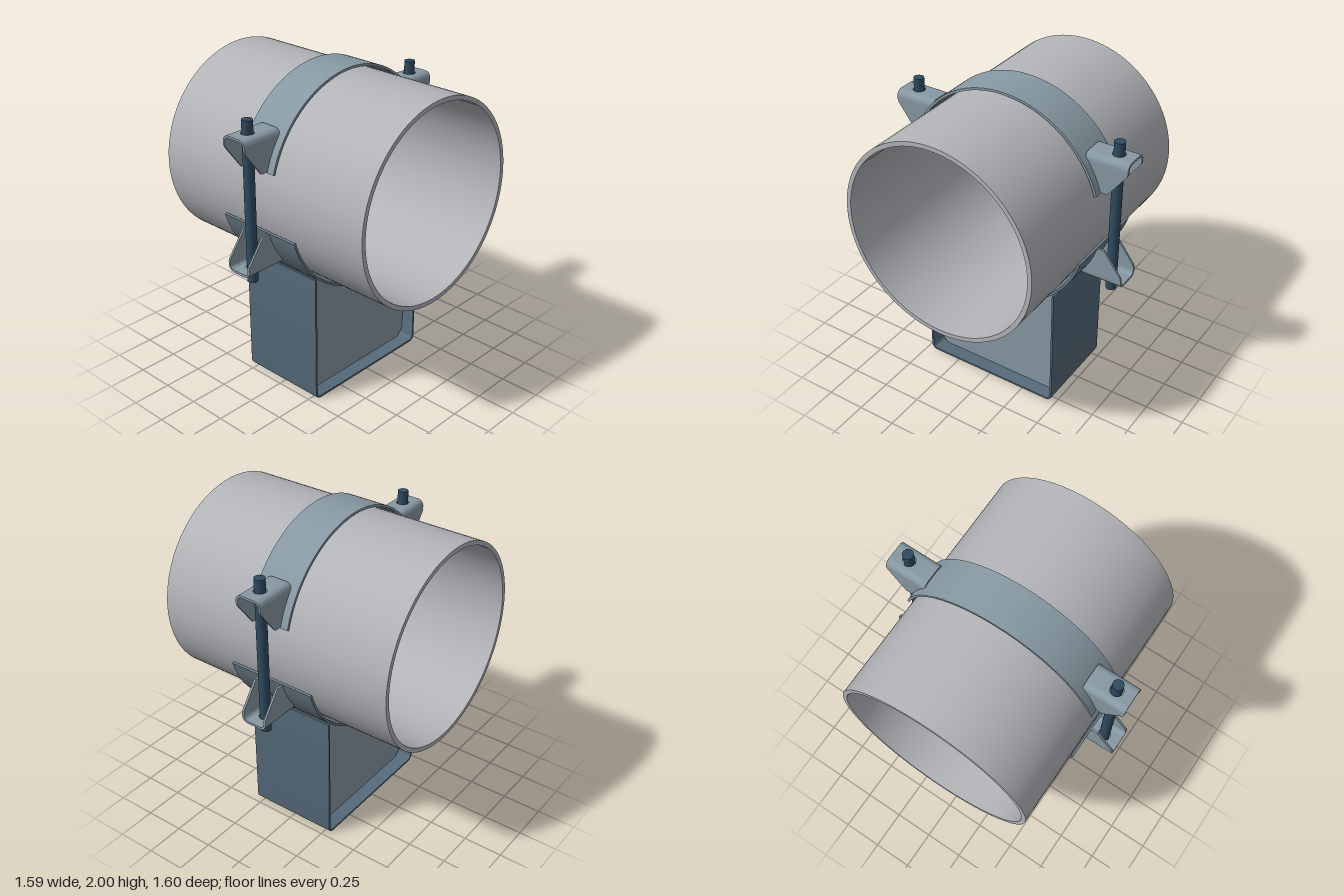
import * as THREE from 'three';
import { toCreasedNormals } from 'three/addons/utils/BufferGeometryUtils.js';

const CY = 1.335;              // height of the pipe axis
const R_IN = 0.65, R_OUT = 0.665; // strap radii

const mat = (color) => new THREE.MeshStandardMaterial({ color });
const pipeMat = mat(0xb2b4b8), strapMat = mat(0x8799a3);
const cradleMat = mat(0x6b7c88), boxMat = mat(0x566b7b), rodMat = mat(0x2f4b60);

function mesh(name, geometry, material) {
  const m = new THREE.Mesh(geometry, material);
  m.name = name;
  return m;
}

// Extrudes a side profile (symmetric in z) along x, centred on cx
function alongX(shape, width, cx = 0) {
  const g = new THREE.ExtrudeGeometry(shape, { depth: width, bevelEnabled: false, curveSegments: 48 });
  g.translate(0, 0, -width / 2).rotateY(Math.PI / 2).translate(cx, 0, 0);
  return toCreasedNormals(g, 0.5);
}

// Curved band between two angles around the pipe axis
function band(a0, a1, width) {
  const s = new THREE.Shape();
  s.absarc(0, CY, R_OUT, a0, a1, false);
  s.absarc(0, CY, R_IN, a1, a0, true);
  s.closePath();
  return alongX(s, width);
}

// Solid through a row of four-cornered cross-sections
function loft(sections) {
  const pos = [];
  const quad = (a, b, c, d) => [a, b, c, a, c, d].forEach((p) => pos.push(...p));
  for (let i = 0; i + 1 < sections.length; i++) {
    const s = sections[i], t = sections[i + 1];
    for (let j = 0; j < 4; j++) {
      const k = (j + 1) % 4;
      quad(s[j], s[k], t[k], t[j]);
    }
  }
  quad(...[...sections[0]].reverse());
  quad(...sections[sections.length - 1]);
  const g = new THREE.BufferGeometry();
  g.setAttribute('position', new THREE.Float32BufferAttribute(pos, 3));
  return toCreasedNormals(g, 0.5);
}

// Bolt lug: folded U with a holed top and tapered cheeks; y is measured from the pipe axis
function lug(name) {
  const g = new THREE.Group();
  g.name = name;
  const top = 0.425, bottom = 0.195, half = 0.087, r = 0.04, t = 0.014;
  const zIn = (y) => Math.min(0.53, Infinity) && Math.max(0.53, Math.sqrt(R_OUT ** 2 - y ** 2) - 0.004);
  const zOut = (y) => Math.min(0.8, 0.68 + (y - bottom) * 0.75);
  const section = (x, y, nx, ny) => {
    const xi = x - nx * t, yi = y - ny * t;
    return [[x, y, zIn(y)], [x, y, zOut(y)], [xi, yi, zOut(yi)], [xi, yi, zIn(yi)]];
  };
  for (const side of [-1, 1]) {
    const rows = [];
    for (let i = 0; i <= 10; i++) {
      rows.push(section(side * half, bottom + (top - r - bottom) * i / 10, side, 0));
    }
    for (let i = 1; i <= 8; i++) {
      const a = (Math.PI / 2) * i / 8, nx = side * Math.cos(a), ny = Math.sin(a);
      rows.push(section(side * (half - r) + r * nx, top - r + r * ny, nx, ny));
    }
    if (side > 0) rows.reverse();
    g.add(mesh('lugCheek', loft(rows), strapMat));
  }
  const w = half - r;
  const plate = new THREE.Shape([[-w, -0.8], [w, -0.8], [w, -0.53], [-w, -0.53]]
    .map(([x, y]) => new THREE.Vector2(x, y)));
  const hole = new THREE.Path();
  hole.absarc(0, -0.695, 0.039, 0, Math.PI * 2, true);
  plate.holes.push(hole);
  const pg = new THREE.ExtrudeGeometry(plate, { depth: t, bevelEnabled: false, curveSegments: 16 });
  pg.rotateX(-Math.PI / 2).translate(0, top - t, 0);
  g.add(mesh('lugTop', toCreasedNormals(pg, 0.5), strapMat));
  return g;
}

export function createModel() {
  const model = new THREE.Group();
  model.name = 'pipeClampSupport';

  // Pipe
  const ring = new THREE.Shape();
  ring.absarc(0, CY, 0.635, 0, Math.PI * 2, false);
  const bore = new THREE.Path();
  bore.absarc(0, CY, 0.607, 0, Math.PI * 2, true);
  ring.holes.push(bore);
  model.add(mesh('pipe', alongX(ring, 1.59), pipeMat));

  // Upper strap and wider lower cradle
  const a = THREE.MathUtils.degToRad(16.5);
  model.add(mesh('upperStrap', band(a, Math.PI - a, 0.27), strapMat));
  model.add(mesh('lowerCradle', band(Math.PI + a, Math.PI * 2 - a, 0.58), cradleMat));

  // Folded U-shaped base
  const W = 0.47, H = 0.845, T = 0.013, R = 0.04;
  const u = new THREE.Shape();
  u.moveTo(-W, H);
  u.lineTo(-W, R);
  u.absarc(-W + R, R, R, Math.PI, Math.PI * 1.5, false);
  u.absarc(W - R, R, R, Math.PI * 1.5, Math.PI * 2, false);
  u.lineTo(W, H);
  u.lineTo(W - T, H);
  u.absarc(W - R, R, R - T, 0, -Math.PI / 2, true);
  u.absarc(-W + R, R, R - T, -Math.PI / 2, -Math.PI, true);
  u.lineTo(-W + T, H);
  u.closePath();
  model.add(mesh('baseChannel', alongX(u, 0.58), boxMat));

  // Two web plates with clipped lower corners and a curved saddle edge
  const w = W - T, c = 0.05, b = Math.acos(w / R_OUT);
  const web = new THREE.Shape();
  web.moveTo(-w, T + c);
  web.lineTo(-w + c, T);
  web.lineTo(w - c, T);
  web.lineTo(w, T + c);
  web.absarc(0, CY, R_OUT, -b, -Math.PI + b, true);
  web.closePath();
  for (const side of [-1, 1]) {
    model.add(mesh('webPlate', alongX(web, 0.013, side * 0.194), strapMat));
  }

  // Lugs and threaded rods, front and back
  for (const [side, turn] of [['front', 0], ['back', Math.PI]]) {
    const clamp = new THREE.Group();
    clamp.name = side + 'Clamp';
    clamp.position.y = CY;
    clamp.rotation.y = turn;
    const lower = lug('lowerLug');
    lower.rotation.z = Math.PI;
    const rod = mesh('rod', new THREE.CylinderGeometry(0.033, 0.033, 1.01, 32), rodMat);
    rod.position.z = 0.695;
    clamp.add(lug('upperLug'), lower, rod);
    model.add(clamp);
  }
  return model;
}
